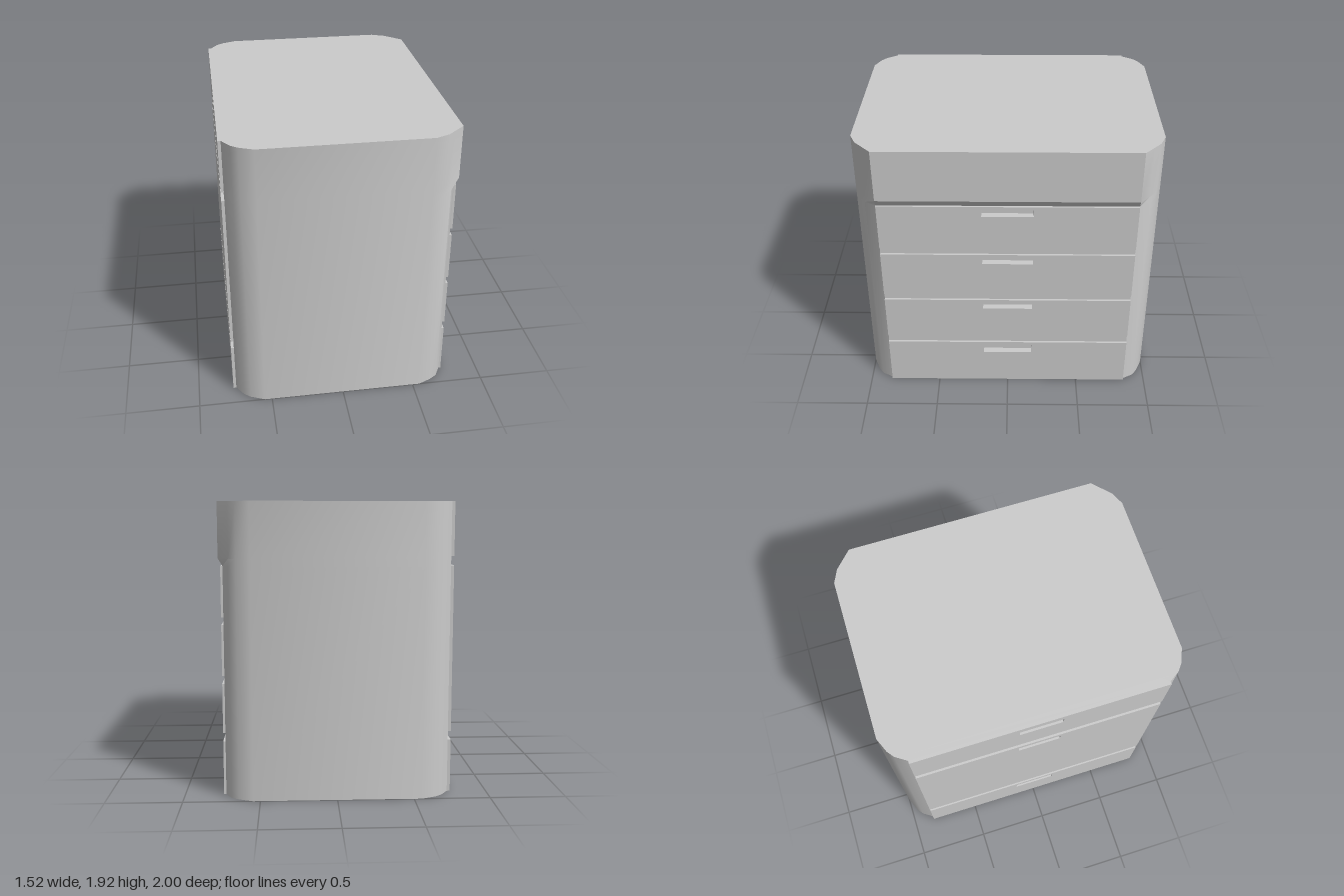
import * as THREE from 'three';
import { toCreasedNormals } from 'three/addons/utils/BufferGeometryUtils.js';

const HEIGHT = 1.92;
const HALF_Z = 0.85; // half width of the flat drawer faces
const CORE = 0.7;    // depth at which the grips end
const material = new THREE.MeshStandardMaterial({ color: 0xcccccc });

function addMesh(parent, geometry, name) {
  const mesh = new THREE.Mesh(geometry, material);
  mesh.name = name;
  parent.add(mesh);
}

// Horizontal outline of the carcass; only the +x edge changes with height
function outline(edge, face, mid) {
  const front = [
    [face, HALF_Z], [edge, HALF_Z], mid, [0.64, 0.96], [0.55, 1],
    [-0.55, 1], [-0.645, 0.96], [-0.69, 0.925], [-0.74, HALF_Z], [-CORE, HALF_Z],
  ];
  return [...front, ...front.map(([x, z]) => [x, -z]).reverse()];
}

// Carcass with rounded corners and an overhanging top on the +x side
function carcassGeometry() {
  const low = [0.69, 0.925], high = [0.69, 0.914];
  const levels = [
    [0, outline(0.73, CORE, low)],
    [1.51, outline(0.73, CORE, low)],
    [1.51, outline(0.73, 0.73, low)],
    [1.56, outline(0.76, 0.76, high)],
    [HEIGHT, outline(0.76, 0.76, high)],
  ];
  const count = levels[0][1].length;
  const position = [], index = [];
  for (const [y, ring] of levels) for (const [x, z] of ring) position.push(x, y, z);
  const bottom = levels.length * count, top = bottom + 1;
  position.push(0, 0, 0, 0, HEIGHT, 0);
  for (let i = 0; i < count; i++) {
    const j = (i + 1) % count;
    for (let l = 0; l < levels.length - 1; l++) {
      const a = l * count + i, b = l * count + j;
      index.push(a, a + count, b, b, a + count, b + count);
    }
    const t = (levels.length - 1) * count;
    index.push(bottom, i, j, top, t + j, t + i);
  }
  const geometry = new THREE.BufferGeometry();
  geometry.setAttribute('position', new THREE.Float32BufferAttribute(position, 3));
  geometry.setIndex(index);
  return toCreasedNormals(geometry, 0.5);
}

function rectangle(target, halfW, y0, y1) {
  target.moveTo(-halfW, y0);
  target.lineTo(halfW, y0);
  target.lineTo(halfW, y1);
  target.lineTo(-halfW, y1);
  target.closePath();
  return target;
}

// Slab facing +x with a rectangular opening for each grip
function slab(x0, x1, y0, y1, grips, gripHalf) {
  const shape = rectangle(new THREE.Shape(), HALF_Z, y0, y1);
  for (const [g0, g1] of grips) shape.holes.push(rectangle(new THREE.Path(), gripHalf, g0, g1));
  const geometry = new THREE.ExtrudeGeometry(shape, { depth: x1 - x0, bevelEnabled: false });
  return geometry.rotateY(Math.PI / 2).translate(x0, 0, 0);
}

// Sloping ceiling of a recessed grip
function gripCeiling(outer, top, half) {
  const shape = new THREE.Shape();
  shape.moveTo(CORE, top);
  shape.lineTo(CORE, top - 0.017);
  shape.lineTo(outer, top);
  shape.closePath();
  return new THREE.ExtrudeGeometry(shape, { depth: 2 * half, bevelEnabled: false })
    .translate(0, 0, -half);
}

// One side: backing plate, raised drawer fronts and their grips
function buildSide(name, plateX, outerX, plateTop, gripHalf, panels) {
  const side = new THREE.Group();
  side.name = name;
  addMesh(side, slab(CORE, plateX, 0, plateTop, panels.map((p) => p.grip), gripHalf), 'backingPlate');
  panels.forEach(({ y, grip }, i) => {
    addMesh(side, slab(plateX, outerX, y[0], y[1], [grip], gripHalf), `drawerFront${i + 1}`);
    addMesh(side, gripCeiling(outerX, grip[1], gripHalf), `gripCeiling${i + 1}`);
  });
  return side;
}

export function createModel() {
  const cabinet = new THREE.Group();
  cabinet.name = 'drawerCabinet';
  addMesh(cabinet, carcassGeometry(), 'carcass');

  // Four drawers on the +x side
  cabinet.add(buildSide('drawerSide', 0.73, 0.745, 1.51, 0.17, [
    { y: [0, 0.36], grip: [0.265, 0.335] },
    { y: [0.415, 0.745], grip: [0.67, 0.717] },
    { y: [0.795, 1.13], grip: [1.055, 1.105] },
    { y: [1.18, 1.51], grip: [1.435, 1.485] },
  ]));

  // Drawer, tall door and drawer on the -x side
  const doorSide = buildSide('doorSide', 0.74, 0.76, HEIGHT, 0.145, [
    { y: [0, 0.355], grip: [0.26, 0.32] },
    { y: [0.41, 1.51], grip: [1.415, 1.475] },
    { y: [1.57, HEIGHT], grip: [1.805, 1.865] },
  ]);
  doorSide.rotation.y = Math.PI;
  cabinet.add(doorSide);
  return cabinet;
}
